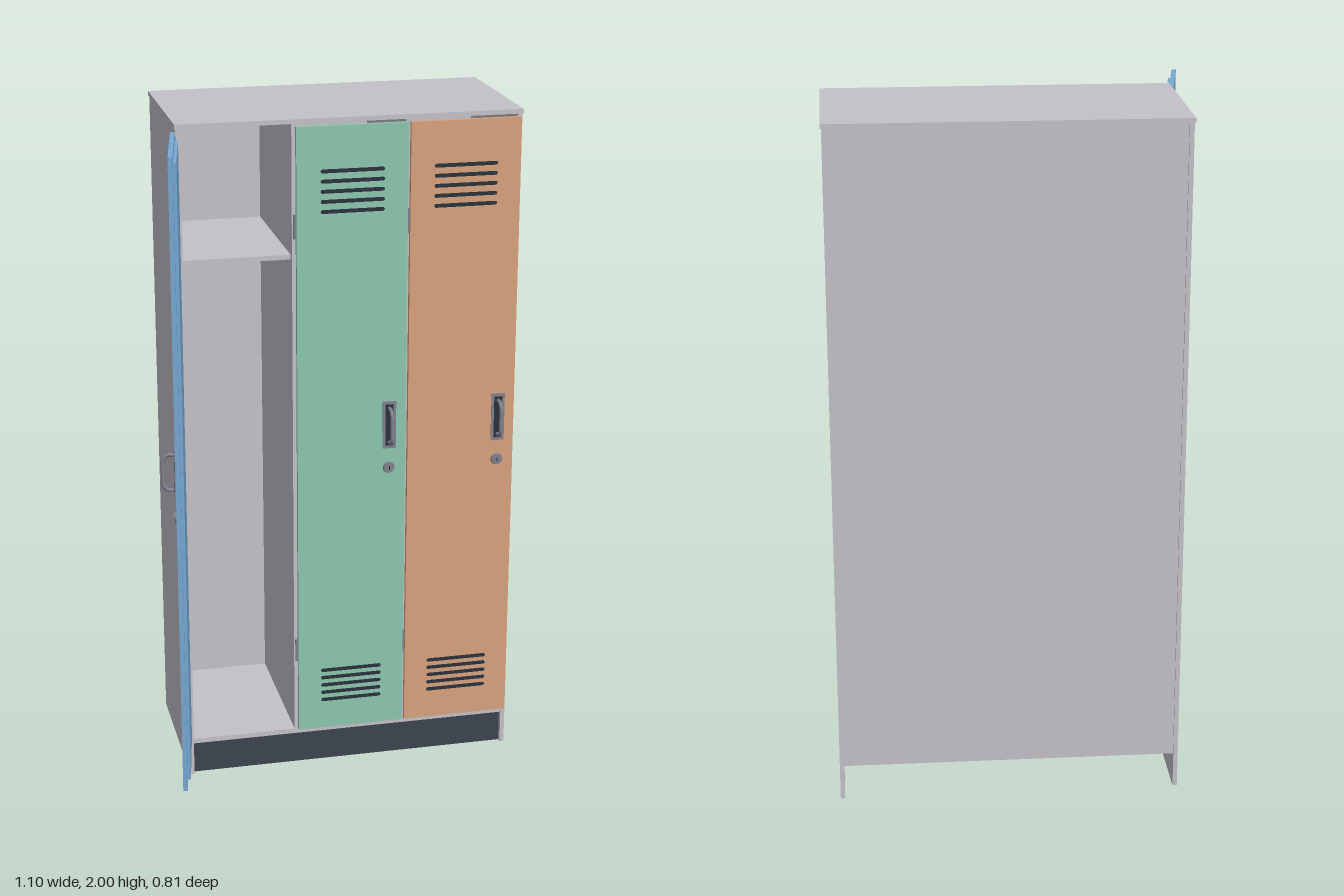
import * as THREE from 'three';

const mat = (name, color) => Object.assign(new THREE.MeshStandardMaterial({ color }), { name });

export function createModel() {
  const grey = mat('body grey', 0xc4c0c8);
  const navy = mat('plinth navy', 0x3b4450);
  const dark = mat('vent dark', 0x2b323a);
  const steel = mat('handle steel', 0x82828e);
  const blue = mat('door blue', 0x76a9d4);
  const green = mat('door green', 0x8cc6ae);
  const orange = mat('door orange', 0xd8a27e);

  const model = new THREE.Group();
  model.name = 'lockers';

  const add = (parent, name, geometry, material, x = 0, y = 0, z = 0) => {
    const mesh = new THREE.Mesh(geometry, material);
    mesh.name = name;
    mesh.position.set(x, y, z);
    parent.add(mesh);
    return mesh;
  };
  // Box given by its minimum and maximum corners
  const box = (parent, name, material, [x0, x1], [y0, y1], [z0, z1]) =>
    add(parent, name, new THREE.BoxGeometry(x1 - x0, y1 - y0, z1 - z0), material,
      (x0 + x1) / 2, (y0 + y1) / 2, (z0 + z1) / 2);

  // Cabinet shell
  const left = -0.45, right = 0.543, front = 0.085, back = -0.402, t = 0.013;
  const inner = [left + t, right - t];
  box(model, 'rightSide', grey, [left, left + t], [0, 1.987], [back, front]);
  box(model, 'leftSide', grey, [right - t, right], [0, 1.987], [back, front]);
  box(model, 'topPanel', grey, [left - 0.003, right + 0.003], [1.987, 2], [back - 0.004, front + 0.004]);
  box(model, 'backPanel', grey, inner, [0.105, 1.987], [back + 0.006, back + 0.016]);
  box(model, 'floorPanel', grey, inner, [0.103, 0.118], [back + 0.006, front - 0.001]);
  box(model, 'plinth', navy, inner, [0, 0.103], [0.058, 0.07]);

  // Dividers, shelves and coat hooks of the three compartments
  const hinges = [-0.448, -0.117, 0.213];
  for (const x of hinges.slice(1)) {
    box(model, 'divider', grey, [x - 0.008, x + 0.004], [0.118, 1.987], [back + 0.016, front - 0.002]);
  }
  hinges.forEach((x, i) => {
    const x0 = i ? x + 0.004 : inner[0];
    const x1 = i < 2 ? hinges[i + 1] - 0.008 : inner[1];
    box(model, 'shelf', grey, [x0, x1], [1.594, 1.608], [back + 0.016, 0.065]);
    for (const dx of [0.118, 0.223]) {
      const hook = new THREE.Group();
      hook.name = 'coatHook';
      hook.position.set(x + dx, 1.51, back + 0.016);
      box(hook, 'hookPlate', steel, [-0.005, 0.005], [-0.005, 0.03], [0, 0.004]);
      const curve = new THREE.CatmullRomCurve3([
        [0.015, 0.003], [-0.015, 0.006], [-0.028, 0.02], [-0.018, 0.034], [0.002, 0.038],
      ].map(([y, z]) => new THREE.Vector3(0, y, z)));
      add(hook, 'hookWire', new THREE.TubeGeometry(curve, 16, 0.004, 8), steel);
      add(hook, 'hookTip', new THREE.SphereGeometry(0.0055, 10, 8), steel, 0, 0.002, 0.038);
      model.add(hook);
    }
  });

  // Louvre slot with rounded ends
  const slotShape = new THREE.Shape();
  const hw = 0.087, r = 0.0055;
  slotShape.absarc(hw, 0, r, -Math.PI / 2, Math.PI / 2, false);
  slotShape.absarc(-hw, 0, r, Math.PI / 2, Math.PI * 1.5, false);
  const slotGeo = new THREE.ExtrudeGeometry(slotShape, { depth: 0.002, bevelEnabled: false, curveSegments: 6 });

  // Bow handle path, standing out along z
  const bow = new THREE.CatmullRomCurve3([
    [0.052, 0], [0.051, 0.022], [0.04, 0.034], [0, 0.036], [-0.04, 0.034], [-0.051, 0.022], [-0.052, 0],
  ].map(([y, z]) => new THREE.Vector3(0, y, z)), false, 'centripetal');
  const bowGeo = new THREE.TubeGeometry(bow, 32, 0.0055, 10);

  // Door hinged at its own x = 0, opening around y
  const makeDoor = (name, material, x, angle) => {
    const door = new THREE.Group();
    door.name = name;
    door.position.set(x, 0, front);
    door.rotation.y = -angle;
    const w = 0.325, face = 0.016;
    box(door, 'doorPanel', material, [0.002, w], [0.122, 1.98], [0.003, face]);
    box(door, 'innerPanel', material, [0.03, w - 0.03], [0.142, 1.96], [-0.006, 0.003]);
    // Upper and lower vents
    for (const [y0, step] of [[1.736, 0.029], [0.216, 0.0245]]) {
      for (let i = 0; i < 5; i++) add(door, 'ventSlot', slotGeo, dark, 0.164, y0 + i * step, face - 0.001);
    }
    // Handle and lock
    box(door, 'handlePlate', steel, [0.256, 0.296], [1.015, 1.16], [face, face + 0.003]);
    box(door, 'handleRecess', dark, [0.264, 0.288], [1.024, 1.151], [face + 0.002, face + 0.004]);
    add(door, 'handleBow', bowGeo, steel, 0.276, 1.087, face);
    const ring = add(door, 'lockRing', new THREE.CylinderGeometry(0.016, 0.018, 0.006, 24), steel, 0.276, 0.955, face + 0.003);
    const core = add(door, 'lockCore', new THREE.CylinderGeometry(0.009, 0.009, 0.003, 20), steel, 0.276, 0.955, face + 0.0075);
    ring.rotation.x = core.rotation.x = Math.PI / 2;
    box(door, 'keyhole', dark, [0.2745, 0.2775], [0.949, 0.961], [face + 0.008, face + 0.0095]);
    // Hinge barrels
    for (const y of [0.385, 1.695]) {
      add(door, 'hinge', new THREE.CylinderGeometry(0.005, 0.005, 0.07, 12), steel, -0.001, y, 0.005);
    }
    model.add(door);
  };
  makeDoor('openDoor', blue, hinges[0], THREE.MathUtils.degToRad(100));
  makeDoor('middleDoor', green, hinges[1], 0);
  makeDoor('leftDoor', orange, hinges[2], 0);

  return model;
}
